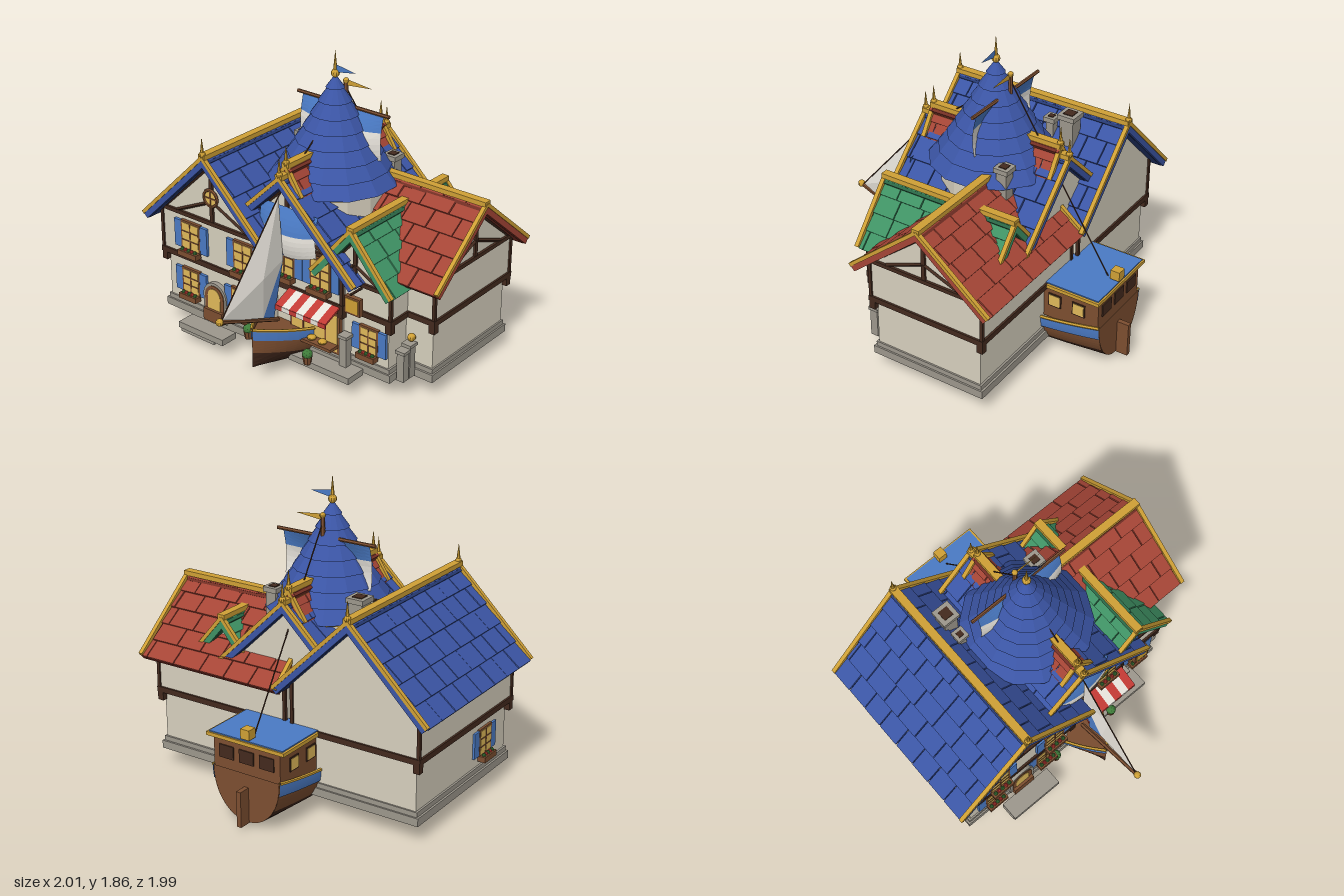
import * as THREE from 'three';

const C = { wall: 0xd6cfbd, blue: 0x3b55a5, red: 0xa54536, green: 0x3f9264, gold: 0xcfa035, dark: 0x432a1e, wood: 0x7c4e30,
  stone: 0x9c978c, white: 0xe6e2da, sky: 0x4a7ac4, glass: 0xe0b95a, hull: 0x3c2419, leaf: 0x3f7d3a, scarlet: 0xc23a34 };
const cache = {};
const mat = (c) => cache[c] ??= new THREE.MeshStandardMaterial({ color: c, flatShading: true, side: THREE.DoubleSide });
let seed = 7;
const rnd = () => (seed = (seed * 16807) % 2147483647) / 2147483647;

function add(parent, name, geo, color, x = 0, y = 0, z = 0) {
  const m = new THREE.Mesh(geo, mat(color));
  m.name = name;
  m.position.set(x, y, z);
  parent.add(m);
  return m;
}
const box = (p, name, c, w, h, d, x, y, z) => add(p, name, new THREE.BoxGeometry(w, h, d), c, x, y, z);
const ball = (p, name, c, r, x, y, z) => add(p, name, new THREE.SphereGeometry(r, 10, 8), c, x, y, z);
function group(parent, name, x = 0, y = 0, z = 0, ry = 0) {
  const g = new THREE.Group();
  g.name = name;
  g.position.set(x, y, z);
  g.rotation.y = ry;
  parent.add(g);
  return g;
}
function rod(p, name, c, a, b, r, sides = 6) {
  const A = new THREE.Vector3(...a), B = new THREE.Vector3(...b), dir = B.clone().sub(A);
  const m = add(p, name, new THREE.CylinderGeometry(r, r, dir.length(), sides), c);
  m.position.copy(A).add(B).multiplyScalar(0.5);
  m.quaternion.setFromUnitVectors(new THREE.Vector3(0, 1, 0), dir.normalize());
  return m;
}
function spire(p, x, y, z, h) {
  ball(p, 'finialBall', C.gold, 0.02, x, y + 0.02, z);
  add(p, 'finialSpike', new THREE.ConeGeometry(0.016, h, 6), C.gold, x, y + h / 2, z);
}

// Shingled gable roof; ridge runs along z at the group's origin
function gableRoof(parent, name, { y, z = 0, W, H, L, color, rows = 5, tile = 0.15, spires = false }) {
  const g = group(parent, name, 0, y, z);
  const S = Math.hypot(W, H), step = S / rows, shade = new THREE.Color(color).multiplyScalar(0.45).getHex();
  for (const side of [0, Math.PI]) {
    const slope = group(group(g, 'roofSide', 0, 0, 0, side), 'slope');
    slope.rotation.z = -Math.atan2(H, W);
    box(slope, 'underlay', shade, S, 0.02, L - 0.02, S / 2, -0.038, 0);
    for (let r = 0; r < rows; r++) {
      let a = -L / 2 + 0.01, len = tile * (r % 2 ? 0.5 : 1);
      while (a < L / 2 - 0.02) {
        const b = Math.min(a + len, L / 2 - 0.01);
        const t = box(slope, 'shingle', color, step * 1.08, 0.016, b - a - 0.006, (r + 0.5) * step, -0.018 + rnd() * 0.004, (a + b) / 2);
        t.rotation.z = 0.09;
        a = b;
        len = tile * (0.85 + 0.3 * rnd());
      }
    }
    for (const e of [-1, 1]) {
      box(slope, 'goldRake', C.gold, S, 0.022, 0.026, S / 2, 0, e * L / 2);
      box(slope, 'fascia', color, S, 0.035, 0.016, S / 2, -0.028, e * L / 2);
    }
  }
  box(g, 'ridgeCap', C.gold, 0.05, 0.03, L + 0.02, 0, 0.005, 0);
  if (spires) for (const e of [-1, 1]) spire(g, 0, 0, e * L / 2, 0.13);
}

// Two-storey timbered house whose front gable faces local +z
function house(parent, name, { x, z, ry = 0, w, d, top, apex, roof }) {
  const g = group(parent, name, x, 0, z, ry);
  const s = new THREE.Shape([[-w / 2, 0.5], [w / 2, 0.5], [w / 2, top], [0, apex], [-w / 2, top]].map((p) => new THREE.Vector2(...p)));
  add(g, 'upperWalls', new THREE.ExtrudeGeometry(s, { depth: d, bevelEnabled: false }), C.wall, 0, 0, -d / 2);
  box(g, 'lowerWalls', C.wall, w - 0.05, 0.38, d - 0.04, 0, 0.32, 0);
  box(g, 'plinth', C.stone, w, 0.05, d, 0, 0.135, 0);
  box(g, 'plinthLip', C.stone, w - 0.025, 0.03, d - 0.02, 0, 0.175, 0);
  box(g, 'floorBeam', C.dark, w + 0.025, 0.035, d + 0.025, 0, 0.505, 0);
  for (const i of [-1, 1]) for (const k of [-1, 1]) {
    box(g, 'cornerPost', C.dark, 0.02, top - 0.5, 0.02, i * w / 2, (top + 0.5) / 2, k * d / 2);
    box(g, 'cornerBracket', C.dark, 0.04, 0.06, 0.04, i * (w / 2 - 0.01), 0.465, k * (d / 2 - 0.01));
  }
  const f = d / 2 + 0.006;
  box(g, 'topPlate', C.dark, w + 0.01, 0.025, 0.02, 0, top, f);
  for (const i of [-1, 1]) box(g, 'sidePlate', C.dark, 0.015, 0.025, d, i * w / 2, top - 0.015, 0);
  box(g, 'kingPost', C.dark, 0.025, apex - top, 0.015, 0, (apex + top) / 2, f);
  const rise = apex - top;
  for (const i of [-1, 1]) {
    rod(g, 'brace', C.dark, [0, top + rise * 0.36, f], [i * w * 0.34, top + 0.01, f], 0.011, 4);
    rod(g, 'gableTimber', C.dark, [0, apex - 0.02, f], [i * (w / 2 - 0.02), top, f], 0.012, 4);
  }
  if (roof) gableRoof(g, name + 'Roof', roof);
  return g;
}

// Window with glazing bars, shutters and a planter
function windowUnit(parent, x, y, z, ry = 0, w = 0.13, h = 0.17, shutters = true) {
  const g = group(parent, 'window', x, y, z, ry);
  box(g, 'frame', C.wood, w + 0.025, h + 0.025, 0.02, 0, 0, 0);
  box(g, 'glass', C.glass, w, h, 0.026, 0, 0, 0);
  box(g, 'mullion', C.wood, 0.008, h, 0.032, 0, 0, 0);
  for (const k of [-0.17, 0.17]) box(g, 'bar', C.wood, w, 0.007, 0.032, 0, k * h, 0);
  if (shutters) for (const s of [-1, 1]) box(g, 'shutter', C.sky, 0.055, h + 0.01, 0.018, s * (w / 2 + 0.04), 0, 0);
  box(g, 'planter', C.wood, w + 0.02, 0.035, 0.05, 0, -h / 2 - 0.022, 0.025);
  for (let i = -2; i <= 2; i++) add(g, i % 2 ? 'flower' : 'leaf', new THREE.IcosahedronGeometry(0.014, 0), i % 2 ? C.scarlet : C.leaf, i * w * 0.2, -h / 2, 0.03);
}

// Billowing sail strip between heights v0 and v1 (0 top, 1 bottom)
function sail(parent, name, color, w, h, bulge, v0, v1, x, y, z) {
  const geo = new THREE.PlaneGeometry(1, 1, 10, 5), p = geo.attributes.position;
  for (let i = 0; i < p.count; i++) {
    const u = p.getX(i) * 2, v = v0 + (v1 - v0) * (0.5 - p.getY(i));
    p.setXYZ(i, u * w / 2, -v * h + 0.05 * v * u * u, bulge * Math.sin(v * Math.PI * 0.8) * (1 - 0.6 * u * u));
  }
  add(parent, name, geo, color, x, y, z);
}

// Hull lines: half beam, keel and sheer along z
const beam = (z) => z > -0.1 ? 0.27 * (1 - Math.pow((z + 0.1) / 0.81, 2.5)) : 0.27 - 0.04 * Math.pow((z + 0.1) / 0.82, 2);
const keel = (z) => z > -0.25 ? 0.11 * ((z + 0.25) / 0.96) ** 2 : 0.02 * ((z + 0.25) / 0.67) ** 2;
const sheer = (z) => 0.26 + 0.1 * ((z + 0.2) / 0.91) ** 2;
function hullPoint(z, u, out = 0) {
  const k = keel(z), h = sheer(z) - k;
  return [(beam(z) + out) * Math.pow(Math.sin(Math.abs(u) * Math.PI / 2), 0.8) * Math.sign(u), k + h * Math.pow(Math.abs(u), 1.6), z];
}
function hullBand(parent, name, color, u0, u1, out) {
  const N = 28, M = 8, pos = [], idx = [];
  for (let i = 0; i <= N; i++) for (let j = 0; j <= M; j++) pos.push(...hullPoint(-0.92 + 1.63 * i / N, u0 + (u1 - u0) * j / M, out));
  for (let i = 0; i < N; i++) for (let j = 0; j < M; j++) {
    const a = i * (M + 1) + j, b = a + M + 1;
    idx.push(a, a + 1, b, b, a + 1, b + 1);
  }
  const geo = new THREE.BufferGeometry();
  geo.setAttribute('position', new THREE.Float32BufferAttribute(pos, 3));
  geo.setIndex(idx);
  geo.computeVertexNormals();
  add(parent, name, geo, color);
}
function triangle(parent, name, color, a, b, c) {
  const geo = new THREE.BufferGeometry().setFromPoints([a, b, c].map((p) => new THREE.Vector3(...p)));
  geo.computeVertexNormals();
  add(parent, name, geo, color);
}

function buildBoat(root) {
  const g = group(root, 'boat', 0.015);
  hullBand(g, 'keelPlanks', C.hull, -0.55, 0.55, 0);
  for (const s of [-1, 1]) {
    hullBand(g, 'sidePlanks', C.wood, s * 0.55, s, 0);
    hullBand(g, 'blueStrake', C.sky, s * 0.82, s, 0.006);
    const rim = Array.from({ length: 16 }, (_, i) => new THREE.Vector3(...hullPoint(-0.92 + 1.63 * i / 15, s, 0.004)));
    add(g, 'goldRail', new THREE.TubeGeometry(new THREE.CatmullRomCurve3(rim), 40, 0.01, 5), C.gold);
  }
  // Deck and transom
  const deck = new THREE.PlaneGeometry(1, 1.6, 1, 24).rotateX(-Math.PI / 2), p = deck.attributes.position;
  for (let i = 0; i < p.count; i++) { const z = p.getZ(i) - 0.12; p.setXYZ(i, p.getX(i) * 1.9 * beam(z), sheer(z) - 0.04, z); }
  add(g, 'deck', deck, C.wood);
  const prof = Array.from({ length: 17 }, (_, i) => hullPoint(-0.92, -1 + i / 8));
  add(g, 'transom', new THREE.ShapeGeometry(new THREE.Shape(prof.map((q) => new THREE.Vector2(q[0], q[1])))), C.wood, 0, 0, -0.92);
  box(g, 'rudder', C.wood, 0.03, 0.22, 0.08, 0, 0.13, -0.955);
  // Stern cabin
  box(g, 'cabin', C.wood, 0.46, 0.24, 0.42, 0, 0.39, -0.7);
  box(g, 'cabinCornice', C.gold, 0.54, 0.022, 0.4, 0, 0.51, -0.73);
  box(g, 'cabinRoof', C.sky, 0.51, 0.012, 0.38, 0, 0.522, -0.73);
  for (const s of [-1, 1]) for (const z of [-0.62, -0.78]) {
    box(g, 'cabinWindowFrame', C.dark, 0.012, 0.085, 0.085, s * 0.23, 0.4, z);
    box(g, 'cabinWindow', C.glass, 0.018, 0.07, 0.07, s * 0.23, 0.4, z);
  }
  for (let i = -1; i <= 1; i++) box(g, 'sternWindow', C.dark, 0.1, 0.08, 0.012, i * 0.14, 0.42, -0.911);
  box(g, 'sternLantern', C.gold, 0.06, 0.06, 0.06, 0, 0.565, -0.895);
  // Bowsprit, jib and rigging
  rod(g, 'bowsprit', C.wood, [0, 0.33, 0.48], [0, 0.53, 0.97], 0.014);
  ball(g, 'bowspritBall', C.gold, 0.023, 0, 0.53, 0.975);
  const tack = [0, 0.53, 0.96], head = [0, 1.12, 0.46], clew = [0.015, 0.37, 0.53], low = [0.02, 0.41, 0.63], leech = [0.02, 0.72, 0.45], belly = [0.045, 0.68, 0.65];
  const edge = [tack, head, leech, low];
  edge.forEach((e, i) => triangle(g, 'jib', C.white, e, edge[(i + 1) % 4], belly));
  triangle(g, 'jibCorner', C.sky, leech, clew, low);
  rod(g, 'forestay', C.dark, tack, head, 0.004);
  rod(g, 'topStay', C.dark, head, [0, 1.58, -0.13], 0.004);
  rod(g, 'backstay', C.dark, [0, 1.6, -0.15], [0, 0.52, -0.84], 0.004);
}

function buildTower(root) {
  const g = group(root, 'tower', 0.015, 0, -0.05), prof = [], n = 8;
  const r = (t) => 0.385 * (0.92 * t + 0.08 * t ** 4);
  for (let i = 0; i < n; i++) for (const [t, o] of [[i / n, 0], [(i + 1) / n, 0.012]])
    prof.push(new THREE.Vector2(r(t) + (t ? o : 0), 1.71 - 0.63 * t));
  add(g, 'spireRoof', new THREE.LatheGeometry(prof, 14), C.blue);
  add(g, 'drum', new THREE.CylinderGeometry(0.33, 0.33, 0.5, 14), C.wall, 0, 0.84, 0);
  add(g, 'cornice', new THREE.CylinderGeometry(0.355, 0.355, 0.03, 14), C.gold, 0, 1.075, 0);
  ball(g, 'spireBall', C.gold, 0.026, 0, 1.715, 0);
  spire(g, 0, 1.7, 0, 0.16);
  triangle(g, 'bluePennant', C.sky, [0, 1.77, 0], [0, 1.72, 0], [0.15, 1.745, 0]);
  // Mast, yard and square sail
  rod(g, 'mast', C.wood, [0, 0.8, -0.1], [0, 1.63, -0.1], 0.014);
  ball(g, 'mastBall', C.gold, 0.018, 0, 1.64, -0.1);
  triangle(g, 'goldPennant', C.gold, [0, 1.65, -0.1], [0, 1.61, -0.1], [0.19, 1.63, -0.1]);
  rod(g, 'yard', C.wood, [-0.34, 1.505, -0.07], [0.34, 1.505, -0.07], 0.011);
  sail(g, 'sailTop', C.sky, 0.6, 0.32, 0.07, 0, 0.36, 0, 1.5, -0.07);
  sail(g, 'sailBottom', C.white, 0.6, 0.32, 0.07, 0.36, 1, 0, 1.5, -0.07);
}

export function createModel() {
  const root = new THREE.Group();
  root.name = 'boatTavern';
  house(root, 'leftHouse', { x: -0.485, z: -0.05, w: 0.84, d: 1.06, top: 0.8, apex: 1.2,
    roof: { y: 1.25, W: 0.51, H: 0.5, L: 1.2, color: C.blue, spires: true } });
  house(root, 'middleHouse', { x: 0.015, z: -0.06, w: 0.8, d: 0.88, top: 0.8, apex: 1.18,
    roof: { y: 1.23, z: 0.01, W: 0.54, H: 0.52, L: 1.0, color: C.blue, spires: true } });
  house(root, 'rightWing', { x: 0.46, z: -0.19, ry: Math.PI / 2, w: 0.76, d: 0.93, top: 0.77, apex: 1.08,
    roof: { y: 1.125, z: 0.035, W: 0.465, H: 0.385, L: 0.99, color: C.red, tile: 0.18 } });
  house(root, 'greenGable', { x: 0.49, z: -0.05, w: 0.5, d: 0.8, top: 0.69, apex: 0.98,
    roof: { y: 1.03, W: 0.29, H: 0.34, L: 0.9, color: C.green, rows: 4 } });
  // Small red crest roof over the middle ridge
  const crest = group(root, 'crest', 0.015, 0, -0.05);
  gableRoof(crest, 'crestRoof', { y: 1.285, W: 0.11, H: 0.17, L: 0.88, color: C.red, rows: 2, spires: true });
  const tri = new THREE.Shape([[-0.1, 1.1], [0.1, 1.1], [0, 1.25]].map((q) => new THREE.Vector2(...q)));
  add(crest, 'crestWall', new THREE.ExtrudeGeometry(tri, { depth: 0.8, bevelEnabled: false }), C.wall, 0, 0, -0.4);
  buildTower(root);
  buildBoat(root);
  sail(root, 'gableSailTop', C.sky, 0.42, 0.3, 0.06, 0, 0.5, 0.04, 1.03, 0.395);
  sail(root, 'gableSailBottom', C.white, 0.42, 0.3, 0.06, 0.5, 1, 0.04, 1.03, 0.395);

  // Windows
  for (const x of [-0.66, -0.235]) windowUnit(root, x, 0.66, 0.49);
  for (const x of [-0.69, -0.285]) windowUnit(root, x, 0.335, 0.47, 0, 0.12, 0.15);
  for (const x of [0, 0.27]) windowUnit(root, x, 0.68, 0.39);
  windowUnit(root, 0.585, 0.335, 0.34, 0, 0.11, 0.15);
  windowUnit(root, -0.885, 0.335, 0.2, -Math.PI / 2, 0.12, 0.15);
  const round = add(root, 'roundWindowFrame', new THREE.TorusGeometry(0.052, 0.01, 6, 16), C.wood, -0.485, 0.97, 0.495);
  add(root, 'roundWindow', new THREE.CircleGeometry(0.05, 16), C.glass, -0.485, 0.97, 0.497);
  for (const a of [0, Math.PI / 2]) box(round, 'roundBar', C.wood, 0.1, 0.008, 0.012, 0, 0, 0).rotation.z = a;

  // Arched door
  const arch = (w, h) => new THREE.Shape().moveTo(-w, 0).lineTo(w, 0).lineTo(w, h).absarc(0, h, w, 0, Math.PI).lineTo(-w, 0);
  const door = group(root, 'door', -0.485, 0.14, 0.46);
  [[0.092, 0.165, 0.03, C.stone, 'doorSurround'], [0.075, 0.165, 0.035, C.wood, 'doorLeaf'], [0.05, 0.17, 0.038, C.glass, 'doorGlass']].forEach(([w, h, d, c, n]) =>
    add(door, n, new THREE.ExtrudeGeometry(arch(w, h), { depth: d, bevelEnabled: false, curveSegments: 10 }), c));
  box(door, 'halfDoor', C.wood, 0.15, 0.08, 0.03, 0, 0.04, 0.04);

  // Shop front with striped awning and counter
  box(root, 'shopFrame', C.wood, 0.37, 0.27, 0.03, 0.215, 0.32, 0.37);
  box(root, 'shopGlass', C.glass, 0.34, 0.24, 0.036, 0.215, 0.32, 0.37);
  for (const x of [0.13, 0.3]) box(root, 'shopMullion', C.wood, 0.01, 0.25, 0.042, x, 0.32, 0.37);
  box(root, 'shopCounter', C.wood, 0.3, 0.02, 0.08, 0.24, 0.24, 0.42);
  for (const x of [0.23, 0.31]) ball(root, 'loaf', C.gold, 0.028, x, 0.265, 0.43).scale.y = 0.6;
  for (let i = 0; i < 7; i++) {
    const c = i % 2 ? C.white : C.scarlet, x = 0.055 + i * 0.054;
    box(root, 'awningStripe', c, 0.054, 0.012, 0.16, x, 0.48, 0.445).rotation.x = 0.4;
    box(root, 'awningFringe', c, 0.054, 0.03, 0.01, x, 0.438, 0.518);
  }
  // Hanging sign
  rod(root, 'signArm', C.dark, [0.53, 0.66, 0.34], [0.53, 0.66, 0.45], 0.008);
  box(root, 'signBoard', C.wood, 0.11, 0.11, 0.03, 0.53, 0.58, 0.42);
  box(root, 'signFace', C.gold, 0.085, 0.085, 0.036, 0.53, 0.58, 0.42);

  // Chimneys
  for (const [x, z, w, top] of [[-0.355, -0.33, 0.09, 1.26], [-0.36, -0.2, 0.05, 1.2], [0.27, -0.28, 0.07, 1.19]]) {
    box(root, 'chimney', C.stone, w, 0.35, w, x, top - 0.175, z);
    box(root, 'chimneyCap', C.stone, w + 0.025, 0.03, w + 0.025, x, top, z);
    box(root, 'chimneyFlue', C.dark, w * 0.7, 0.02, w * 0.7, x, top + 0.01, z);
  }
  // Steps, foundation slabs, gate posts and pots
  box(root, 'frontStep', C.stone, 0.36, 0.04, 0.12, -0.48, 0.115, 0.57);
  box(root, 'frontStepLow', C.stone, 0.27, 0.04, 0.1, -0.525, 0.08, 0.56);
  box(root, 'shopStep', C.stone, 0.45, 0.04, 0.14, 0.325, 0.115, 0.42);
  for (const x of [-0.52, 0.56]) box(root, 'foundationSlab', C.stone, 0.27, 0.045, 0.46, x, 0.085, -0.07);
  box(root, 'foundationRim', C.stone, 0.36, 0.025, 0.54, 0.56, 0.1, -0.07);
  for (const [x, z, h] of [[0.44, 0.38, 0.2], [0.78, 0.28, 0.18], [0.78, 0.22, 0.2]]) {
    box(root, 'gatePost', C.stone, 0.05, h, 0.05, x, 0.12 + h / 2, z);
    box(root, 'gatePostCap', C.stone, 0.065, 0.02, 0.065, x, 0.13 + h, z);
  }
  ball(root, 'postLamp', C.gold, 0.025, 0.78, 0.365, 0.2);
  for (const x of [-0.21, 0.25]) {
    add(root, 'plantPot', new THREE.CylinderGeometry(0.03, 0.022, 0.05, 8), C.wood, x, 0.15, 0.495);
    add(root, 'plant', new THREE.IcosahedronGeometry(0.032, 1), C.leaf, x, 0.19, 0.495);
  }
  return root;
}
